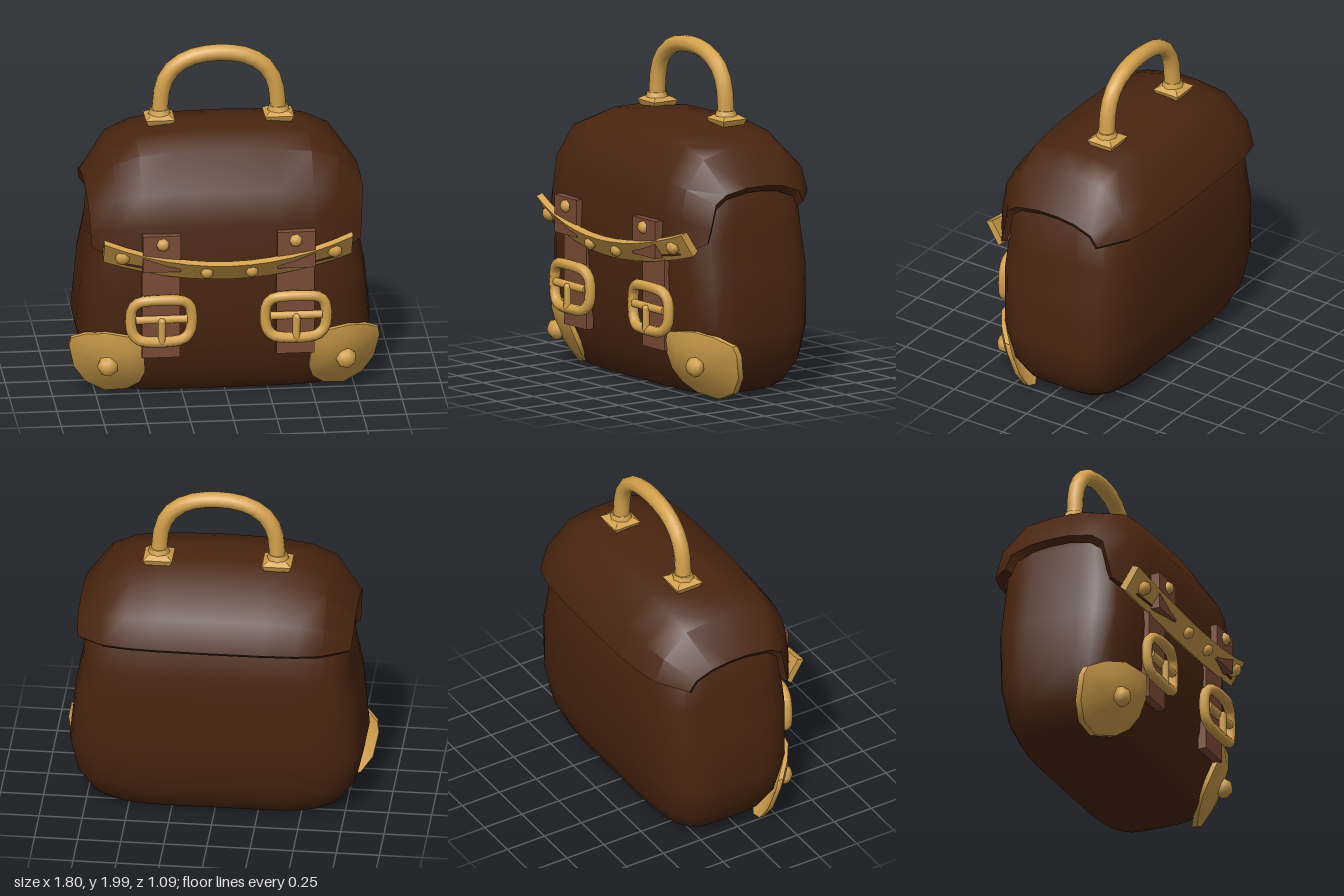
import * as THREE from 'three';
import { toCreasedNormals } from 'three/addons/utils/BufferGeometryUtils.js';

const mat = (name, color) => {
  const m = new THREE.MeshStandardMaterial({ color });
  m.name = name;
  return m;
};

// Closed solid through rings of equal point count, capped with fans, facing outward
function loft(rings, crease = 0.7) {
  const n = rings[0].length, pos = rings.flat(2), idx = [];
  for (let r = 0; r < rings.length - 1; r++) {
    for (let i = 0; i < n; i++) {
      const a = r * n + i, b = r * n + (i + 1) % n;
      idx.push(a, b, a + n, b, b + n, a + n);
    }
  }
  // End caps are strips across the ring, so thin bent sections cap cleanly
  const last = (rings.length - 1) * n;
  for (let i = 0, j = n - 1; i + 1 <= j; i++, j--) {
    idx.push(i, j, i + 1, last + i, last + i + 1, last + j);
    if (i + 1 < j - 1 || j - 1 > i + 1) {
      idx.push(i + 1, j, j - 1, last + i + 1, last + j - 1, last + j);
    }
  }
  // Turn the faces outward when the enclosed volume comes out negative
  const v = i => new THREE.Vector3().fromArray(pos, i * 3);
  let volume = 0;
  for (let t = 0; t < idx.length; t += 3) volume += v(idx[t]).dot(v(idx[t + 1]).cross(v(idx[t + 2])));
  if (volume < 0) idx.reverse();
  const g = new THREE.BufferGeometry();
  g.setAttribute('position', new THREE.Float32BufferAttribute(pos, 3));
  g.setIndex(idx);
  return toCreasedNormals(g, crease);
}

export function createModel() {
  const leather = mat('darkLeather', 0x4a2510);
  const strapMat = mat('strapLeather', 0x7a4a35);
  const brass = mat('brass', 0xd4a24c);
  const model = new THREE.Group();
  model.name = 'satchel';
  const add = (name, geo, material, x = 0, y = 0, z = 0, parent = model) => {
    const m = new THREE.Mesh(geo, material);
    m.name = name;
    m.position.set(x, y, z);
    parent.add(m);
    return m;
  };
  const stud = (name, r, x, y, z, tilt = 0) => {
    const m = add(name, new THREE.SphereGeometry(r, 7, 5).rotateX(Math.PI / 2), brass, x, y, z);
    m.scale.z = 0.8;
    m.rotation.x = tilt;
  };

  // Bag body: rounded rectangles stacked upward [y, halfWidth, midZ, halfDepth]
  const body = [
    [0.01, 0.5, -0.03, 0.22], [0.03, 0.66, -0.04, 0.29], [0.08, 0.73, -0.045, 0.33],
    [0.2, 0.81, -0.045, 0.385], [0.4, 0.855, -0.04, 0.425], [0.75, 0.82, -0.04, 0.45],
    [0.95, 0.78, -0.04, 0.44], [1.2, 0.76, -0.04, 0.41], [1.38, 0.62, -0.04, 0.31], [1.43, 0.4, -0.04, 0.2],
  ];
  const soft = c => Math.sign(c) * Math.abs(c) ** (2 / 4.5);
  add('body', loft(body.map(([y, hx, zm, hz]) => Array.from({ length: 32 }, (_, i) => {
    const a = (i + 0.5) / 32 * Math.PI * 2;
    return [hx * soft(Math.cos(a)), y, zm + hz * soft(Math.sin(a))];
  })), 1.0), leather);

  // Flap: stations from back hem over the top to front hem [z, y, sideZ, sideY, halfWidth]
  const flap = [
    [-0.545, 1.17, -0.35, 1.13, 0.79], [-0.49, 1.35, -0.31, 1.2, 0.8], [-0.32, 1.53, -0.2, 1.24, 0.8],
    [-0.12, 1.555, -0.08, 1.255, 0.8], [0.07, 1.555, 0.05, 1.255, 0.8], [0.28, 1.5, 0.2, 1.23, 0.8],
    [0.42, 1.29, 0.27, 1.18, 0.795], [0.455, 1.1, 0.3, 1.03, 0.785], [0.465, 0.84, 0.32, 0.95, 0.78],
  ];
  const across = [[-1, 1], [-0.81, 0.3], [-0.625, 0.1], [-0.375, 0.02], [0, 0],
    [0.375, 0.02], [0.625, 0.1], [0.81, 0.3], [1, 1]];
  add('flap', loft(flap.map(([z, y, ez, ey, hx]) => {
    const outer = across.map(([u, f]) => [u * hx, y + (ey - y) * f, z + (ez - z) * f]);
    const inner = outer.map(p => [p[0] * 0.965, p[1] - 0.035 * Math.min(1, Math.max(0, (p[1] - 0.95) / 0.2)), p[2] * 0.92]);
    return [...outer, ...inner.reverse()];
  }), 0.75), leather);

  // Brass trim bowed along the front hem, leaning out at its top
  const trim = [];
  for (let i = 0; i <= 12; i++) {
    const x = -0.72 + 0.12 * i, q = (x / 0.72) ** 2;
    const y = 0.77 + 0.105 * q, z = 0.455 - 0.075 * q, top = 0.11 + 0.025 * q;
    trim.push([[x, y, z], [x, y + top, z + 0.085], [x, y + top + 0.015, z + 0.045], [x, y + 0.03, z - 0.035]]);
  }
  add('frontTrim', loft(trim, 0.5), brass);

  // Outline of the corner guard, for the left side
  const guard = [[0.52, 0.41], [0.7, 0.43], [0.81, 0.405], [0.89, 0.355], [0.9, 0.3], [0.87, 0.16], [0.8, 0.06],
    [0.69, 0.01], [0.57, 0.04], [0.5, 0.1], [0.475, 0.18], [0.485, 0.3]];
  const guardZ = (x, y) => 0.41 - 1.2 * (0.42 - y) ** 2 - 1.3 * Math.max(0, x - 0.5) ** 2;

  for (const s of [1, -1]) {
    const side = s > 0 ? 'left' : 'right';

    // Corner guard: bent plate from back centre to rim to front centre
    const ring = (k, dz) => guard.map(([gx, gy]) => {
      const x = 0.69 + (gx - 0.69) * k, y = 0.22 + (gy - 0.22) * k;
      return [s * x, y, guardZ(x, y) + dz];
    });
    add(side + 'CornerGuard', loft([ring(0.1, -0.02), ring(0.6, -0.02), ring(1, -0.02),
      ring(1, 0.015), ring(0.6, 0.02), ring(0.1, 0.02)], 0.6), brass);
    stud(side + 'CornerStud', 0.063, s * 0.69, 0.22, 0.345);

    // Strap below and above the trim
    add(side + 'LowerStrap', new THREE.BoxGeometry(0.22, 0.58, 0.05), strapMat, s * 0.39, 0.58, 0.4);
    add(side + 'UpperStrap', new THREE.BoxGeometry(0.22, 0.22, 0.055), strapMat, s * 0.39, 0.95, 0.467);
    stud(side + 'StrapStud', 0.04, s * 0.385, 1.01, 0.495);
    stud(side + 'TrimInnerStud', 0.038, s * 0.13, 0.83, 0.505, 0.6);
    stud(side + 'TrimOuterStud', 0.045, s * 0.615, 0.92, 0.45, 0.5);

    // Buckle: bowed rounded frame, crossbar and prong
    const buckle = new THREE.Group();
    buckle.name = side + 'Buckle';
    buckle.position.set(s * 0.39, 0.53, 0.455);
    model.add(buckle);
    const frame = [];
    for (const [cx, cy, start] of [[0.09, 0.04, 0], [-0.09, 0.04, 1], [-0.09, -0.04, 2], [0.09, -0.04, 3]]) {
      for (let k = 0; k <= 3; k++) {
        const a = (start + k / 3) * Math.PI / 2;
        const x = cx + 0.085 * Math.cos(a), y = cy + 0.085 * Math.sin(a);
        frame.push(new THREE.Vector3(x, y, 0.015 - 0.8 * x * x));
      }
    }
    const loop = new THREE.CatmullRomCurve3(frame, true);
    add('frame', new THREE.TubeGeometry(loop, 32, 0.032, 8, true), brass, 0, 0, 0, buckle);
    add('crossbar', new THREE.CylinderGeometry(0.025, 0.025, 0.3, 8).rotateZ(Math.PI / 2), brass, 0, 0.005, 0, buckle);
    add('prong', new THREE.CapsuleGeometry(0.022, 0.12, 3, 8), brass, 0, -0.06, 0.025, buckle);

    // Handle foot: bevelled square plate and collar
    const foot = (top, bottom, h) => toCreasedNormals(
      new THREE.CylinderGeometry(top * Math.SQRT2, bottom * Math.SQRT2, h, 4).rotateY(Math.PI / 4), 0.4);
    add(side + 'HandleFoot', foot(0.085, 0.07, 0.035), brass, s * 0.345, 1.555, -0.125);
    add(side + 'HandleFootBevel', foot(0.055, 0.085, 0.02), brass, s * 0.345, 1.582, -0.125);
    add(side + 'HandleCollar', new THREE.CylinderGeometry(0.055, 0.065, 0.03, 8), brass, s * 0.345, 1.605, -0.12);
  }

  // Carrying handle
  const arch = [[-0.345, 1.58], [-0.325, 1.76], [-0.275, 1.855], [-0.17, 1.925], [0, 1.952],
    [0.17, 1.925], [0.275, 1.855], [0.325, 1.76], [0.345, 1.58]];
  const path = new THREE.CatmullRomCurve3(arch.map(([x, y]) => new THREE.Vector3(x, y, -0.12)));
  add('handle', new THREE.TubeGeometry(path, 16, 0.048, 10), brass);

  return model;
}
